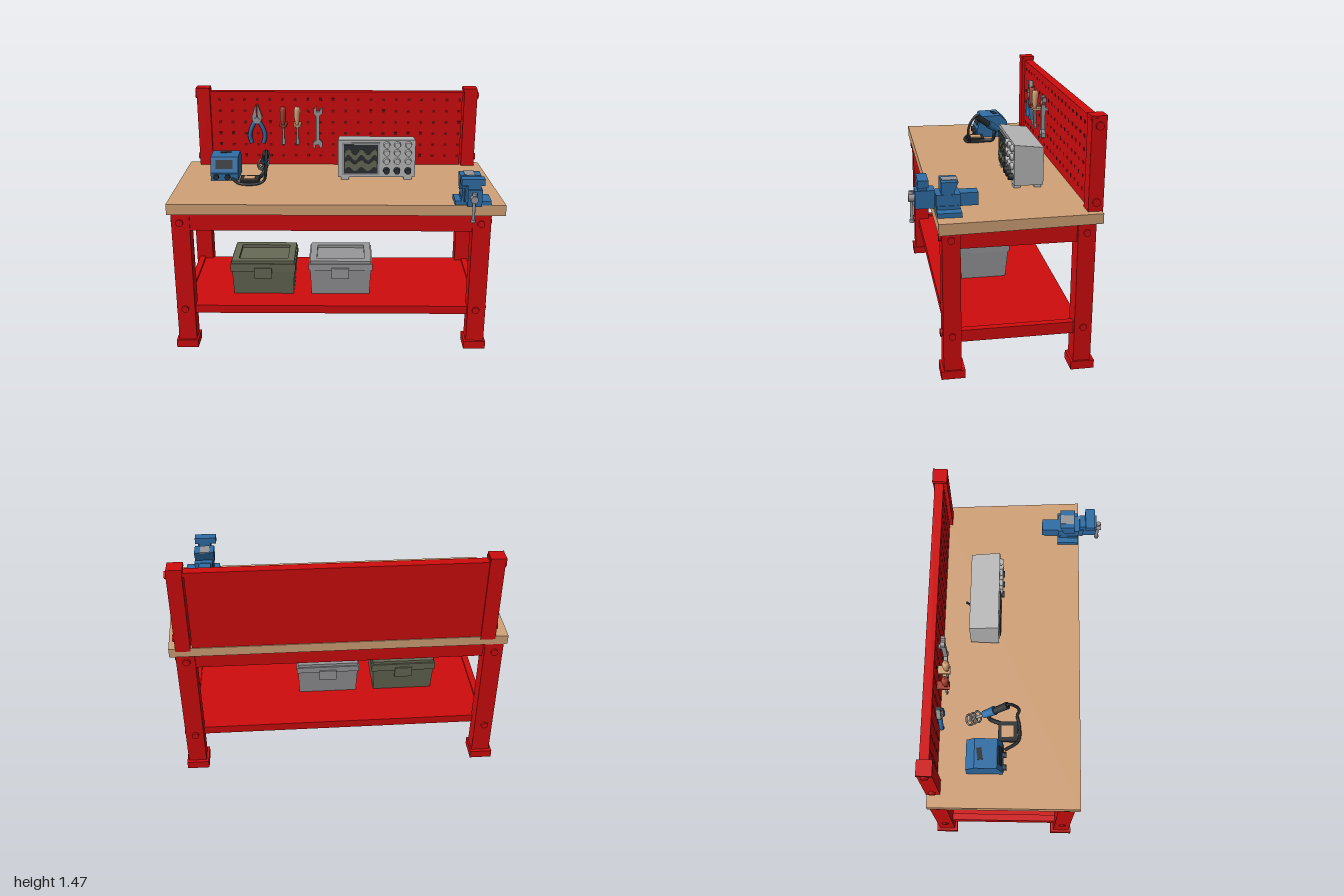
import * as THREE from 'three';

const mat = (name, color) => { const m = new THREE.MeshStandardMaterial({ color }); m.name = name; return m; };

export function createModel() {
  const red = mat('red paint', 0xd00c0e), darkRed = mat('hole dark red', 0x740a0a), wood = mat('wood', 0xd2a277),
    blue = mat('blue', 0x2f6ea6), dark = mat('charcoal', 0x2b2f33), steel = mat('steel', 0x98989b),
    pale = mat('pale grey', 0xb9b9b9), olive = mat('olive', 0x666a55), brick = mat('brick red', 0xa8402f);
  const model = new THREE.Group();
  model.name = 'workbench';

  const group = (name) => { const g = new THREE.Group(); g.name = name; model.add(g); return g; };
  const add = (parent, name, geo, m, x = 0, y = 0, z = 0) => {
    const mesh = new THREE.Mesh(geo, m);
    mesh.name = name;
    mesh.position.set(x, y, z);
    parent.add(mesh);
    return mesh;
  };
  // box from minimum and maximum limits
  const box = (p, name, m, x0, x1, y0, y1, z0, z1) =>
    add(p, name, new THREE.BoxGeometry(x1 - x0, y1 - y0, z1 - z0), m, (x0 + x1) / 2, (y0 + y1) / 2, (z0 + z1) / 2);
  // cylinder between two points
  const rod = (p, name, m, a, b, r0, r1 = r0, sides = 14) => {
    const A = new THREE.Vector3(...a), B = new THREE.Vector3(...b), d = B.clone().sub(A);
    const c = add(p, name, new THREE.CylinderGeometry(r1, r0, d.length(), sides), m);
    c.position.copy(A).add(B).multiplyScalar(0.5);
    c.quaternion.setFromUnitVectors(new THREE.Vector3(0, 1, 0), d.normalize());
    return c;
  };
  const tube = (p, name, m, pts, r, n = 32) => add(p, name, new THREE.TubeGeometry(
    new THREE.CatmullRomCurve3(pts.map((q) => new THREE.Vector3(...q))), n, r, 8), m);
  const shape = (pts) => new THREE.Shape(pts.map(([x, y]) => new THREE.Vector2(x, y)));
  const extrude = (s, depth) => new THREE.ExtrudeGeometry(s, { depth, bevelEnabled: false });
  // move box corners by a rule
  const warp = (mesh, rule) => {
    const pos = mesh.geometry.attributes.position, v = new THREE.Vector3();
    for (let i = 0; i < pos.count; i++) {
      v.fromBufferAttribute(pos, i);
      rule(v);
      pos.setXYZ(i, v.x, v.y, v.z);
    }
    mesh.geometry.computeVertexNormals();
    return mesh;
  };

  // worktop, narrower and lower at the rear right
  const top = group('worktop');
  warp(box(top, 'tabletop', wood, -1, 1, 0.89, 0.955, -0.505, 0.385), (v) => {
    if (v.z < 0) { if (v.x > 0) v.x -= 0.04; if (v.y > 0) v.y -= 0.008; }
  });

  // frame: legs, feet, aprons and bolts
  const frame = group('frame');
  for (const [x0, z0] of [[-0.98, 0.262], [0.812, 0.262], [-0.98, -0.5], [0.82, -0.475]]) {
    const x1 = x0 + 0.11, z1 = z0 + 0.1, front = z0 > 0;
    box(frame, 'leg', red, x0, x1, 0, 0.89, z0, z1);
    box(frame, 'foot', red, x0 - 0.015, x1 + 0.01, 0, 0.05, z0 - 0.02, z1 + 0.015);
    const zo = front ? z1 : z0, xo = x0 < 0 ? x0 : x1;
    for (const y of [0.26, 0.83]) {
      rod(frame, 'legBolt', red, [x0 + 0.05, y, zo], [x0 + 0.05, y, zo + (front ? 0.012 : -0.012)], 0.022);
      rod(frame, 'sideBolt', red, [xo, y, z0 + 0.05], [xo + (x0 < 0 ? -0.008 : 0.008), y, z0 + 0.05], 0.02);
    }
  }
  box(frame, 'frontApron', red, -0.9, 0.84, 0.78, 0.89, 0.31, 0.355);
  box(frame, 'backApron', red, -0.9, 0.84, 0.78, 0.89, -0.465, -0.42);
  box(frame, 'leftApron', red, 0.86, 0.91, 0.775, 0.89, -0.42, 0.3);
  box(frame, 'rightApron', red, -0.97, -0.92, 0.775, 0.89, -0.42, 0.3);
  box(frame, 'underPanel', red, -0.93, 0.87, 0.8, 0.82, -0.43, 0.32);

  // lower shelf with raised end rails
  const shelf = group('shelf');
  box(shelf, 'shelfPlate', red, -0.95, 0.89, 0.22, 0.272, -0.42, 0.335);
  for (const x of [-0.96, 0.865]) box(shelf, 'shelfRail', red, x, x + 0.04, 0.215, 0.285, -0.4, 0.3);

  // perforated back panel and its posts
  const back = group('toolPanel');
  box(back, 'panel', red, -0.86, 0.826, 0.93, 1.445, -0.5, -0.447);
  for (const s of [-1, 1]) {
    const x = s < 0 ? -0.88 : 0.878;
    box(back, 'post', red, x - 0.043, x + 0.043, 0.93, 1.46, -0.51, -0.427);
    box(back, 'postCap', red, x - 0.048, x + 0.04, 1.45, 1.472, -0.512, -0.425);
    for (const y of [1.0, 1.42])
      rod(back, 'postBolt', red, [x + s * 0.043, y, -0.47], [x + s * 0.055, y, -0.47], 0.022);
  }
  box(back, 'panelBracket', red, 0.82, 0.84, 1.42, 1.445, -0.5, -0.45);
  for (let r = 0; r < 6; r++) for (let c = 0; c < 20; c++)
    box(back, 'pegHole', darkRed, -0.787 + c * 0.0835, -0.769 + c * 0.0835, 1.002 + r * 0.0765, 1.02 + r * 0.0765, -0.448, -0.445);

  // pliers
  const pliers = group('pliers');
  for (const s of [-1, 1]) {
    add(pliers, 'jaw', extrude(shape(s > 0
      ? [[0.003, 0], [0.03, 0.01], [0.034, 0.04], [0.008, 0.12], [0.003, 0.12]]
      : [[-0.003, 0.12], [-0.008, 0.12], [-0.034, 0.04], [-0.03, 0.01], [-0.003, 0]]), 0.025), steel, -0.53, 1.245, -0.435);
    tube(pliers, 'handle', blue, [[-0.53 + s * 0.012, 1.255, -0.42], [-0.53 + s * 0.04, 1.2, -0.418],
      [-0.53 + s * 0.05, 1.15, -0.418], [-0.53 + s * 0.038, 1.105, -0.418]], 0.014, 16);
  }
  rod(pliers, 'pivot', steel, [-0.53, 1.26, -0.435], [-0.53, 1.26, -0.402], 0.022);

  // screwdrivers in wall clips
  for (const [x, m] of [[-0.355, brick], [-0.262, wood]]) {
    const g = group('screwdriver');
    add(g, 'handle', new THREE.LatheGeometry([[0, 0], [0.014, 0], [0.012, 0.03], [0.02, 0.06], [0.022, 0.12], [0.016, 0.14], [0, 0.14]]
      .map((q) => new THREE.Vector2(...q)), 10), m, x, 1.215, -0.395);
    rod(g, 'shaft', steel, [x, 1.1, -0.4], [x, 1.22, -0.396], 0.008);
    box(g, 'tip', steel, x - 0.012, x + 0.012, 1.1, 1.14, -0.405, -0.395);
    box(g, 'clip', m, x - 0.024, x + 0.024, 1.225, 1.24, -0.45, -0.375);
  }

  // open-ended wrench
  const wrench = group('wrench');
  add(wrench, 'wrenchBody', extrude(shape([[-0.012, 0.05], [-0.032, 0.035], [-0.034, 0.0], [-0.018, -0.005], [-0.016, 0.02], [0.008, 0.02],
    [0.012, -0.005], [0.03, 0.005], [0.03, 0.035], [0.012, 0.055], [0.012, 0.215], [0.032, 0.235], [0.034, 0.265], [0.018, 0.265],
    [0.012, 0.245], [-0.008, 0.245], [-0.008, 0.275], [-0.026, 0.265], [-0.028, 0.235], [-0.012, 0.215]]), 0.025), steel, -0.128, 1.075, -0.43);
  box(wrench, 'hook', steel, -0.14, -0.116, 1.25, 1.27, -0.447, -0.425);

  // soldering station with a sloping face
  const station = group('solderingStation');
  const body = add(station, 'stationBody', extrude(shape([[-0.07, 0.953], [-0.07, 1.01], [-0.1, 1.1], [-0.23, 1.105], [-0.28, 1.06], [-0.28, 0.953]]
    .map(([z, y]) => [-z, y])), 0.175), blue, -0.8);
  body.rotation.y = Math.PI / 2;
  box(station, 'lowerFace', blue, -0.79, -0.635, 0.957, 1.0, -0.072, -0.065);
  const display = box(station, 'display', dark, -0.768, -0.66, 1.028, 1.083, -0.087, -0.08);
  display.rotation.x = -0.32;
  const vent = box(station, 'topVent', dark, -0.75, -0.68, 1.102, 1.107, -0.215, -0.185);
  vent.rotation.y = 0.15;
  for (const x of [-0.765, -0.692]) rod(station, 'knob', dark, [x, 0.98, -0.07], [x, 0.98, -0.048], 0.018);

  // soldering iron, cable, holder and sponge tray
  const iron = group('solderingIron');
  box(iron, 'tray', dark, -0.608, -0.49, 0.952, 0.98, -0.1, 0.015);
  box(iron, 'sponge', wood, -0.585, -0.515, 0.978, 0.986, -0.08, -0.01);
  rod(iron, 'grip', dark, [-0.44, 1.145, -0.045], [-0.458, 1.08, -0.13], 0.022, 0.02);
  rod(iron, 'collar', blue, [-0.455, 1.09, -0.12], [-0.468, 1.045, -0.185], 0.027, 0.022);
  rod(iron, 'barrel', steel, [-0.468, 1.045, -0.185], [-0.49, 0.985, -0.275], 0.01, 0.005);
  tube(iron, 'cable', dark, [[-0.44, 1.14, -0.05], [-0.437, 1.16, -0.04], [-0.436, 1.11, 0.005], [-0.44, 1.04, 0.022],
    [-0.455, 0.98, 0.01], [-0.5, 0.962, 0.022], [-0.6, 0.962, 0.02], [-0.66, 0.968, -0.06]], 0.009, 48);
  for (let i = 0; i < 3; i++) {
    const ring = add(iron, 'holderRing', new THREE.TorusGeometry(0.032, 0.006, 6, 18), steel, -0.475 - i * 0.006, 1.025 - i * 0.016, -0.22 - i * 0.025);
    ring.rotation.x = -0.6;
  }
  tube(iron, 'holderArm', dark, [[-0.5, 0.965, -0.08], [-0.475, 0.975, -0.15], [-0.455, 1.03, -0.16], [-0.465, 1.06, -0.165]], 0.012, 16);

  // oscilloscope
  const scope = group('oscilloscope');
  warp(box(scope, 'case', pale, 0.01, 0.5, 0.968, 1.212, -0.28, -0.108), (v) => {
    if (v.z < 0 && v.y > 0) v.y -= 0.022;
    if (v.z < 0 && Math.abs(v.x) > 0.2) v.x *= 0.98;
  });
  box(scope, 'bezel', steel, 0.035, 0.275, 0.982, 1.196, -0.11, -0.102);
  box(scope, 'screen', dark, 0.048, 0.262, 0.995, 1.183, -0.104, -0.098);
  for (const [y, h, amp] of [[1.1, 0.035, 0.02], [1.025, 0.045, 0.014]]) {
    const edge = [];
    for (let i = 0; i <= 16; i++) edge.push([0.055 + i * 0.0125, y + amp * Math.sin(i * 0.95)]);
    add(scope, 'waveform', extrude(shape([...edge, ...edge.map(([x, v]) => [x, v + h]).reverse()]), 0.003), olive, 0, 0, -0.098);
  }
  [1.182, 1.13, 1.075, 1.012].forEach((y, r) => [0.318, 0.385, 0.455].forEach((x) =>
    rod(scope, 'knob', r === 3 ? dark : pale, [x, y, -0.11], [x, y, r === 3 ? -0.08 : -0.088], 0.022, 0.019)));
  for (const x of [0.055, 0.455]) for (const z of [-0.25, -0.13]) box(scope, 'scopeFoot', pale, x - 0.025, x + 0.025, 0.945, 0.97, z - 0.02, z + 0.02);
  rod(scope, 'rearStand', dark, [0.25, 0.965, -0.27], [0.25, 1.03, -0.31], 0.007);

  // bench vise
  const vise = group('vise');
  box(vise, 'base', blue, 0.70, 0.912, 0.95, 0.98, 0.25, 0.38);
  box(vise, 'pedestal', blue, 0.735, 0.855, 0.975, 1.0, 0.26, 0.375);
  box(vise, 'slide', blue, 0.748, 0.822, 0.985, 1.057, 0.15, 0.41);
  box(vise, 'fixedBody', blue, 0.738, 0.85, 0.975, 1.06, 0.25, 0.38);
  warp(box(vise, 'fixedJaw', blue, 0.725, 0.848, 1.05, 1.128, 0.26, 0.352), (v) => { if (v.y < 0 && v.z < 0) v.z += 0.03; });
  box(vise, 'jawPlate', steel, 0.752, 0.812, 1.126, 1.131, 0.26, 0.345);
  box(vise, 'movingBody', blue, 0.755, 0.838, 0.985, 1.085, 0.385, 0.49);
  box(vise, 'movingNeck', blue, 0.755, 0.83, 1.06, 1.12, 0.425, 0.475);
  box(vise, 'movingJaw', blue, 0.718, 0.852, 1.105, 1.145, 0.418, 0.475);
  rod(vise, 'screw', steel, [0.79, 1.035, 0.48], [0.79, 1.035, 0.522], 0.022);
  rod(vise, 'handleBar', steel, [0.79, 0.905, 0.505], [0.79, 1.065, 0.505], 0.009);
  for (const y of [0.905, 1.065]) rod(vise, 'handleEnd', steel, [0.79, y - 0.008, 0.505], [0.79, y + 0.008, 0.505], 0.014);

  // lidded storage boxes with a rimmed, recessed lid
  const rect = (Type, a, b) => new Type([[-a, -b], [a, -b], [a, b], [-a, b]].map((q) => new THREE.Vector2(...q)));
  for (const [name, m, cx, w, lidY] of [['oliveCrate', olive, -0.46, 0.41, 0.435], ['greyCrate', steel, 0.028, 0.4, 0.445]]) {
    const g = group(name), cz = 0.023;
    warp(box(g, 'crateBody', m, cx - w / 2 + 0.008, cx + w / 2 - 0.008, 0.272, lidY, cz - 0.154, cz + 0.154), (v) => {
      if (v.y < 0) { v.x *= 0.96; v.z *= 0.9; }
    });
    box(g, 'lid', m, cx - w / 2, cx + w / 2, lidY, 0.485, cz - 0.162, cz + 0.162);
    const rim = rect(THREE.Shape, w / 2 - 0.008, 0.154);
    rim.holes.push(rect(THREE.Path, w / 2 - 0.05, 0.11));
    const r = add(g, 'lidRim', extrude(rim, 0.02), m, cx, 0.484, cz);
    r.rotation.x = -Math.PI / 2;
    for (const s of [-1, 1]) {
      const z = cz + s * 0.157;
      box(g, 'latch', m, cx - 0.055, cx + 0.055, 0.39, 0.46, z - 0.014, z + 0.014);
    }
  }
  return model;
}
